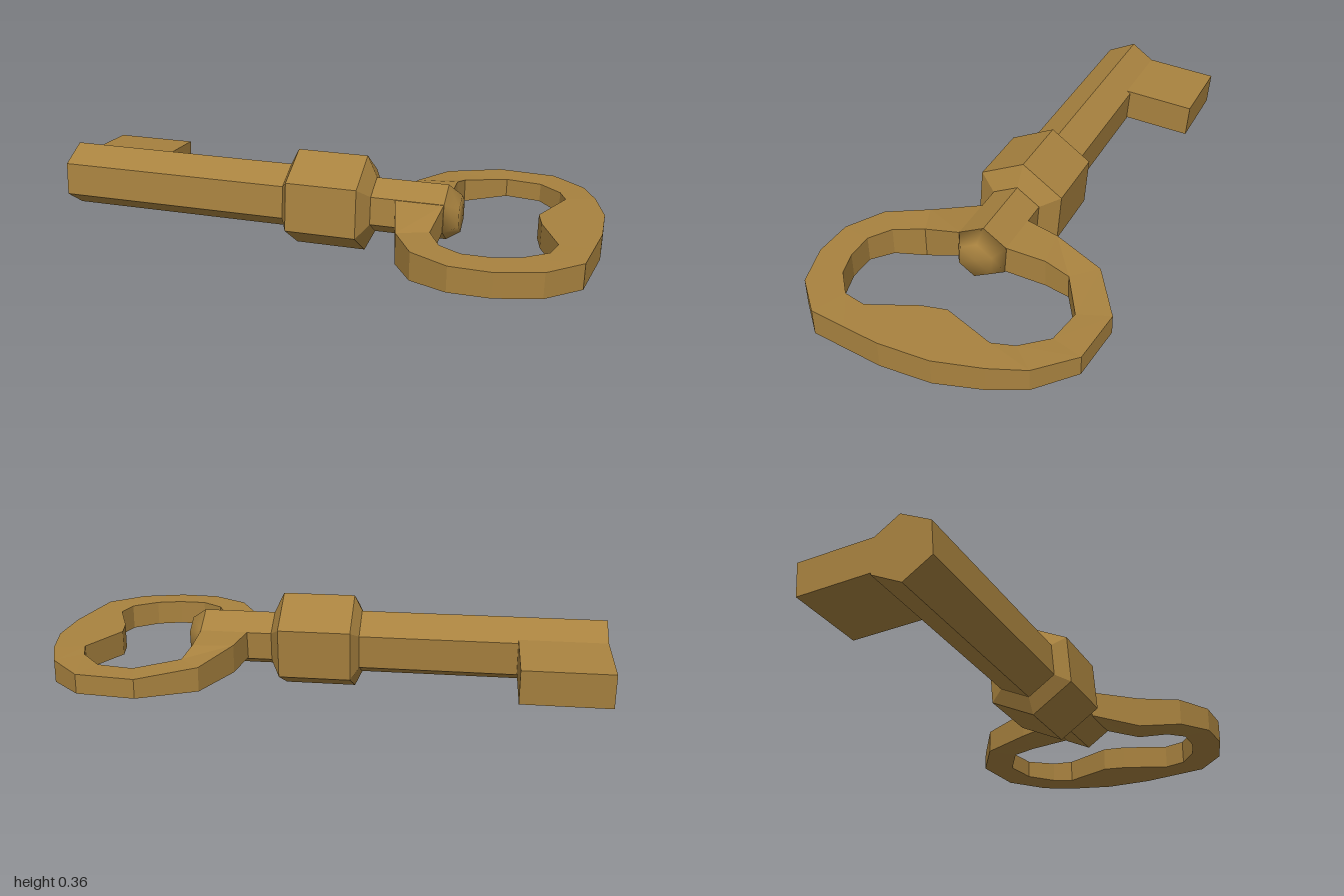
import * as THREE from 'three';
import { mergeVertices } from 'three/addons/utils/BufferGeometryUtils.js';

const AXIS_Y = 0.182, AXIS_Z = 0.011;
const COLOR = 0xa8823f;

export function createModel() {
  const key = new THREE.Group();
  key.name = 'key';
  const flat = new THREE.MeshStandardMaterial({ color: COLOR, flatShading: true });
  const smooth = new THREE.MeshStandardMaterial({ color: COLOR });

  const add = (name, geometry, material = flat, parent = key) => {
    const mesh = new THREE.Mesh(geometry, material);
    mesh.name = name;
    parent.add(mesh);
    return mesh;
  };

  // Six-sided section along x, tilted five degrees about the key's axis
  const hex = (x0, x1, r0, r1, open = false) =>
    new THREE.CylinderGeometry(r1, r0, x1 - x0, 6, 1, open, THREE.MathUtils.degToRad(25))
      .rotateZ(-Math.PI / 2)
      .translate((x0 + x1) / 2, AXIS_Y, AXIS_Z);

  // Shaft and neck
  add('shaft', hex(-1, -0.1, 0.12, 0.12));
  add('neck', hex(0.16, 0.46, 0.102, 0.102));

  // Collar with chamfered ends
  const collar = new THREE.Group();
  collar.name = 'collar';
  key.add(collar);
  add('collarBody', hex(-0.1, 0.16, 0.179, 0.179, true), flat, collar);
  add('collarInnerChamfer', hex(-0.127, -0.1, 0.122, 0.179), flat, collar);
  add('collarOuterChamfer', hex(0.16, 0.197, 0.179, 0.104), flat, collar);

  // Softly shaded cap at the end of the neck
  let cap = hex(0.46, 0.51, 0.102, 0.068);
  cap.deleteAttribute('uv');
  cap.deleteAttribute('normal');
  cap = mergeVertices(cap, 1e-4);
  cap.computeVertexNormals();
  add('neckCap', cap, smooth);

  // Bit: the tooth at the tip
  const bit = add('bit', new THREE.BoxGeometry(0.31, 0.122, 0.36));
  bit.position.set(-0.845, 0.174, -0.172);
  bit.rotation.x = THREE.MathUtils.degToRad(-4.5);

  add('bow', bowGeometry());
  return key;
}

// Bow: a four-sided band carried round from one side of the neck to the other
function bowGeometry() {
  // outer x, outer z, inner x, inner z, bottom y, top y
  const stations = [
    [0.285, 0.09, 0.46, 0.09, 0.143, 0.24],
    [0.33, 0.28, 0.44, 0.24, 0.082, 0.196],
    [0.41, 0.42, 0.49, 0.34, 0.096, 0.198],
    [0.545, 0.495, 0.57, 0.39, 0.108, 0.2],
    [0.69, 0.5, 0.67, 0.39, 0.11, 0.2],
    [0.845, 0.455, 0.76, 0.365, 0.109, 0.2],
    [0.96, 0.35, 0.845, 0.3, 0.107, 0.199],
    [0.98, 0.22, 0.865, 0.22, 0.105, 0.197],
    [1, 0.09, 0.795, 0.055, 0.103, 0.195],
    [1, -0.09, 0.777, -0.03, 0.102, 0.193],
    [0.96, -0.25, 0.855, -0.215, 0.103, 0.19],
    [0.91, -0.37, 0.83, -0.29, 0.106, 0.185],
    [0.79, -0.485, 0.75, -0.375, 0.11, 0.179],
    [0.58, -0.505, 0.62, -0.395, 0.11, 0.178],
    [0.39, -0.39, 0.47, -0.31, 0.104, 0.19],
    [0.31, -0.2, 0.455, -0.22, 0.112, 0.213],
    [0.285, -0.07, 0.46, -0.07, 0.128, 0.227],
  ];
  const positions = [], index = [];
  for (const [ox, oz, ix, iz, bottom, top] of stations) {
    positions.push(ox, bottom, oz, ox, top, oz, ix, top, iz, ix, bottom, iz);
  }
  for (let s = 0; s < stations.length - 1; s++) {
    for (let k = 0; k < 4; k++) {
      const a = s * 4 + k, b = s * 4 + (k + 1) % 4;
      index.push(a, a + 4, b, b, a + 4, b + 4);
    }
  }
  // End faces
  const e = (stations.length - 1) * 4;
  index.push(0, 1, 2, 0, 2, 3, e, e + 2, e + 1, e, e + 3, e + 2);

  const geometry = new THREE.BufferGeometry();
  geometry.setAttribute('position', new THREE.Float32BufferAttribute(positions, 3));
  geometry.setIndex(index);
  geometry.computeVertexNormals();
  return geometry;
}
